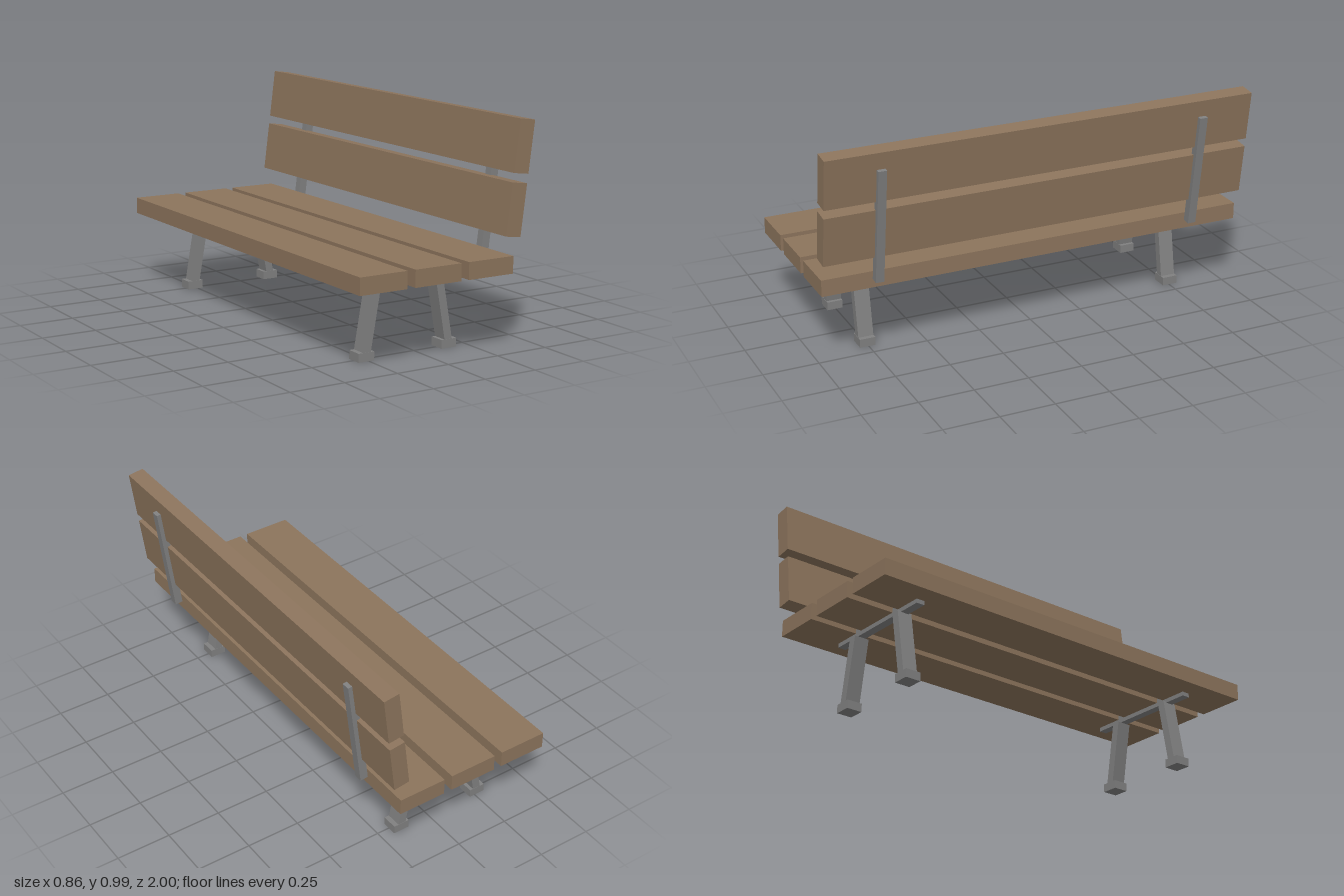
import * as THREE from 'three';

const wood = new THREE.MeshStandardMaterial({ color: 0x8c745c });
wood.name = 'brown wood';
const metal = new THREE.MeshStandardMaterial({ color: 0x808080 });
metal.name = 'grey metal';

export function createModel() {
  const bench = new THREE.Group();
  bench.name = 'bench';

  // Box centred at x, y, z and tilted about the z axis
  function box(name, material, [w, h, d], [x, y, z], tilt = 0) {
    const mesh = new THREE.Mesh(new THREE.BoxGeometry(w, h, d), material);
    mesh.name = name;
    mesh.position.set(x, y, z);
    mesh.rotation.z = tilt;
    bench.add(mesh);
  }

  // Bar whose end centres are (x1, y1) and (x2, y2)
  function bar(name, x1, y1, x2, y2, width, depth, z) {
    const dx = x2 - x1, dy = y2 - y1;
    box(name, metal, [width, Math.hypot(dx, dy), depth],
      [(x1 + x2) / 2, (y1 + y2) / 2, z], Math.atan2(-dx, dy));
  }

  // Seat planks
  for (const x of [-0.318, -0.054, 0.2095]) {
    box('seatPlank', wood, [0.225, 0.075, 2], [x, 0.3785, 0]);
  }

  // Leaning backrest planks
  const lean = -THREE.MathUtils.degToRad(7.4);
  box('lowerBackPlank', wood, [0.074, 0.225, 2], [0.334, 0.608, 0], lean);
  box('upperBackPlank', wood, [0.074, 0.225, 2], [0.3685, 0.87, 0], lean);

  // Metal frame near each end
  for (const z of [-0.754, 0.754]) {
    box('seatCrossbar', metal, [0.565, 0.038, 0.038], [-0.0545, 0.341, z]);
    bar('backUpright', 0.343, 0.379, 0.411, 0.901, 0.037, 0.038, z);

    // Splayed legs with block feet
    for (const side of [-1, 1]) {
      const at = (offset) => -0.055 + side * offset;
      bar('leg', at(0.208), 0.015, at(0.153), 0.325, 0.037, 0.07, z);
      box('foot', metal, [0.076, 0.038, 0.072], [at(0.207), 0.019, z]);
    }
  }
  return bench;
}
